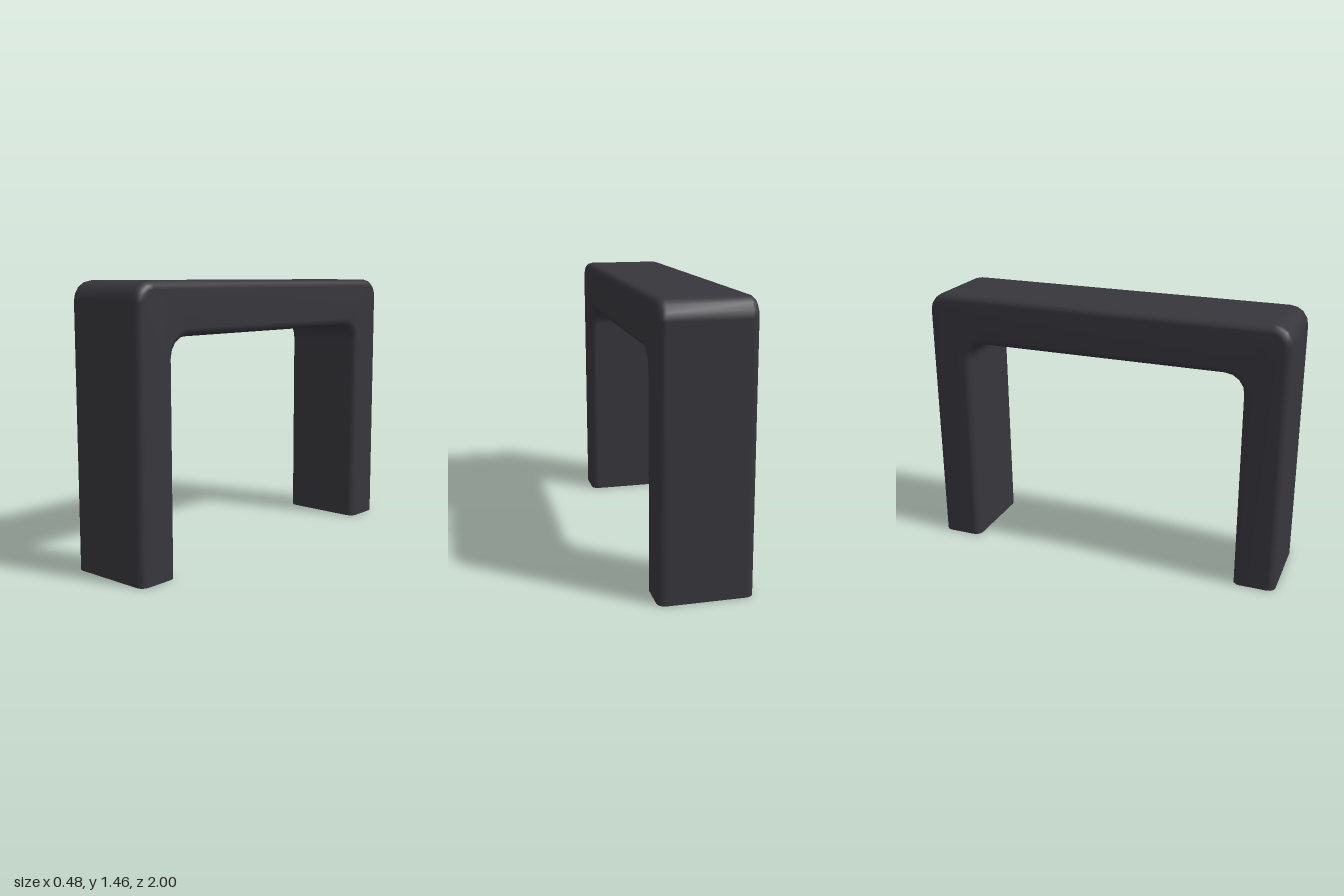
import * as THREE from 'three';

const HALF_X = 0.24;   // half width
const BEVEL = 0.04;    // rounding of the long edges
const BEND = 0.1;      // corner radius of the arch
const OUTER = { z: 1, y: 1.455 };
const INNER = { z: 0.77, y: 1.185 };
const BEND_STEPS = 4, BEVEL_STEPS = 3;

// Cross-section: a rounded rectangle as { x, outer?, depth below that face }
function crossSection() {
  const points = [];
  for (let k = 0; k < 4; k++) {
    const outer = k < 2;
    for (let s = 0; s <= BEVEL_STEPS; s++) {
      const a = (k + s / BEVEL_STEPS) * Math.PI / 2;
      const sx = k === 0 || k === 3 ? 1 : -1;
      points.push({
        x: sx * (HALF_X - BEVEL) + BEVEL * Math.cos(a),
        outer,
        depth: BEVEL * (1 - Math.abs(Math.sin(a))),
      });
    }
  }
  return points;
}

// Stations along the arch: foot, bend, bend, foot
function stations() {
  const half = [{ foot: true, angle: 0, side: 1 }];
  for (let i = 0; i <= BEND_STEPS; i++) {
    half.push({ foot: false, angle: (i / BEND_STEPS) * Math.PI / 2, side: 1 });
  }
  return [...half, ...half.map((s) => ({ ...s, side: -1 })).reverse()];
}

// Sweep the section over the arch; outer and inner bends share the stations
function archGeometry() {
  const section = crossSection(), path = stations();
  const positions = [], index = [], n = section.length;
  for (const { foot, angle, side } of path) {
    for (const { x, outer, depth } of section) {
      const face = outer ? OUTER : INNER;
      const r = outer ? BEND - depth : BEND + depth;
      const z = face.z - BEND + r * Math.cos(angle);
      const y = foot ? 0 : face.y - BEND + r * Math.sin(angle);
      positions.push(x, y, side * z);
    }
  }
  for (let i = 0; i < path.length - 1; i++) {
    for (let j = 0; j < n; j++) {
      const a = i * n + j, b = i * n + (j + 1) % n;
      index.push(a, a + n, b, b, a + n, b + n);
    }
  }
  const geometry = new THREE.BufferGeometry();
  geometry.setAttribute('position', new THREE.Float32BufferAttribute(positions, 3));
  geometry.setIndex(index);
  geometry.computeVertexNormals();
  return geometry;
}

export function createModel() {
  const group = new THREE.Group();
  group.name = 'archHandle';
  // Hollow shell, open under both feet
  const material = new THREE.MeshStandardMaterial({ color: 0x36363c, side: THREE.DoubleSide });
  const arch = new THREE.Mesh(archGeometry(), material);
  arch.name = 'arch';
  group.add(arch);
  return group;
}
